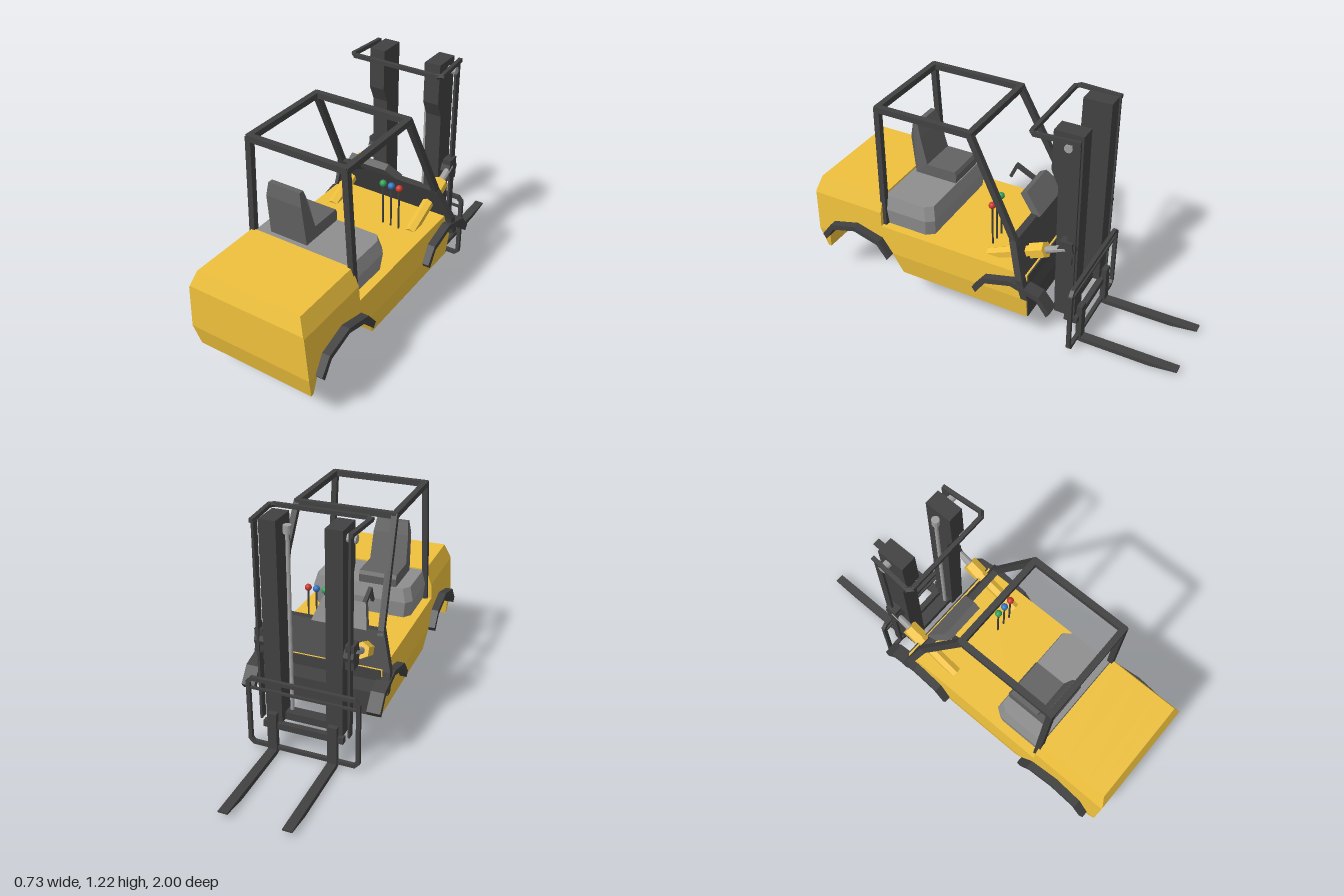
import * as THREE from 'three';

const mat = (color) => new THREE.MeshStandardMaterial({ color, flatShading: true });
const YELLOW = mat(0xeec03c), DARK = mat(0x414141), SEAT = mat(0x626262), GREY = mat(0x8e8e8e), STEEL = mat(0xa0a0a0);

// Skin through closed rings; each ring runs counter-clockwise seen from the end of the loft
function loft(rings) {
  const v = [], n = rings[0].length;
  const tri = (...p) => p.forEach((q) => v.push(...q));
  for (let r = 0; r < rings.length - 1; r++) {
    for (let i = 0; i < n; i++) {
      const a = rings[r], b = rings[r + 1], j = (i + 1) % n;
      tri(a[i], a[j], b[j]);
      tri(a[i], b[j], b[i]);
    }
  }
  const first = rings[0], last = rings[rings.length - 1];
  for (let i = 1; i < n - 1; i++) {
    tri(first[0], first[i + 1], first[i]);
    tri(last[0], last[i], last[i + 1]);
  }
  const g = new THREE.BufferGeometry();
  g.setAttribute('position', new THREE.Float32BufferAttribute(v, 3));
  g.computeVertexNormals();
  return g;
}

// Side profile of [z, y] points extruded from x0 to x1
function extrudeX(points, x0, x1) {
  const shape = new THREE.Shape(points.map(([z, y]) => new THREE.Vector2(-z, y)));
  return new THREE.ExtrudeGeometry(shape, { depth: x1 - x0, bevelEnabled: false })
    .rotateY(Math.PI / 2).translate(x0, 0, 0);
}

export function createModel() {
  const model = new THREE.Group();
  const add = (name, geometry, material) => {
    const mesh = new THREE.Mesh(geometry, material);
    mesh.name = name;
    model.add(mesh);
    return mesh;
  };
  const box = (name, x0, x1, y0, y1, z0, z1, m) => add(name,
    new THREE.BoxGeometry(x1 - x0, y1 - y0, z1 - z0).translate((x0 + x1) / 2, (y0 + y1) / 2, (z0 + z1) / 2), m);
  // Square bar or round rod between two points
  const between = (name, a, b, geometryOf, m) => {
    const p = new THREE.Vector3(...a), q = new THREE.Vector3(...b);
    const mesh = add(name, geometryOf(p.distanceTo(q)), m);
    mesh.position.copy(p).lerp(q, 0.5);
    mesh.quaternion.setFromUnitVectors(new THREE.Vector3(0, 1, 0), q.sub(p).normalize());
    return mesh;
  };
  const bar = (name, a, b, t, m = DARK) => between(name, a, b, (l) => new THREE.BoxGeometry(t, l + t * 0.6, t), m);
  const rod = (name, a, b, r, m, sides = 8) => between(name, a, b, (l) => new THREE.CylinderGeometry(r, r, l, sides), m);

  // Body and counterweight: [z, bottom, top] stations, with the rear wheel arch in the bottom line
  const halfWidth = (y) => {
    if (y < 0.3) return 0.315 + (y - 0.18) * 0.125;
    if (y < 0.53) return 0.33 - (y - 0.3) * 0.065;
    return 0.315 - (y - 0.53) * 0.39;
  };
  const stations = [[-0.25, 0.18, 0.45], [0.48, 0.18, 0.45], [0.53, 0.3, 0.45], [0.59, 0.36, 0.45], [0.59, 0.36, 0.62],
    [0.62, 0.38, 0.62], [0.74, 0.41, 0.62], [0.87, 0.38, 0.62], [0.935, 0.3, 0.62], [0.955, 0.18, 0.62],
    [0.972, 0.18, 0.62], [1, 0.3, 0.54]];
  add('body', loft(stations.map(([z, lo, hi]) => {
    const levels = [lo, Math.max(lo, 0.3), Math.min(hi, 0.53), hi];
    return [...levels.map((y) => [halfWidth(y), y, z]), ...levels.reverse().map((y) => [-halfWidth(y), y, z])];
  })), YELLOW);
  box('frontBulkhead', -0.315, 0.315, 0.185, 0.45, -0.256, -0.249, DARK);

  // Engine cover, with cut front corners
  add('engineCover', loft([[0.45, 0.275, 0.31], [0.54, 0.285, 0.3], [0.615, 0.265, 0.315]].map(([y, w, z]) => [
    [-w, y, 0.585], [w, y, 0.585], [w, y, z + 0.04], [w - 0.03, y, z], [-w + 0.03, y, z], [-w, y, z + 0.04]])), GREY);

  // Seat, narrowing at the top of the backrest
  const seat = extrudeX([[0.56, 0.612], [0.32, 0.612], [0.315, 0.66], [0.325, 0.68], [0.49, 0.68],
    [0.525, 0.83], [0.545, 0.9], [0.572, 0.9], [0.58, 0.83]], -0.195, 0.012);
  const sp = seat.attributes.position;
  for (let i = 0; i < sp.count; i++) {
    const k = sp.getY(i) > 0.88 ? 0.84 : sp.getY(i) > 0.8 ? 0.95 : 1;
    sp.setX(i, -0.0915 + (sp.getX(i) + 0.0915) * k);
  }
  seat.computeVertexNormals();
  add('seat', seat, SEAT);

  // Fenders
  const arch = [[-0.21, 0.285], [-0.15, 0.365], [0, 0.405], [0.15, 0.365], [0.21, 0.285]];
  const band = [...arch.map(([z, y]) => [z * 1.02, y + 0.015]), ...arch.map(([z, y]) => [z * 0.93, y - 0.012]).reverse()];
  for (const s of [-1, 1]) {
    for (const [name, zc, inner] of [['rearFender', 0.74, 0.24], ['frontFender', -0.18, 0.295]]) {
      const pts = band.map(([z, y]) => [z + zc, y]);
      add(name, extrudeX(pts, s > 0 ? inner : -0.365, s > 0 ? 0.365 : -inner), DARK);
    }
  }

  // Sloping front cowl and instrument panel
  const cowl = [[0.36, 0.33, -0.255], [0.36, 0.44, -0.225], [0.3, 0.62, -0.16]];
  add('cowl', loft(cowl.map(([w, y, z]) => [
    [-w, y, z + 0.018], [w, y, z + 0.018], [w, y, z - 0.018], [-w, y, z - 0.018]])), DARK);
  add('instrumentPanel', loft([[0.6, -0.22, 0.07, -0.18], [0.7, -0.18, 0.04, -0.09]].map(([y, x0, x1, z]) => [
    [x0, y, z + 0.02], [x1, y, z + 0.02], [x1, y + 0.02, z - 0.015], [x0, y + 0.02, z - 0.015]])), SEAT);

  // Steering column
  bar('steeringColumn', [-0.15, 0.61, -0.17], [-0.15, 0.72, 0.045], 0.02);
  bar('steeringArm', [-0.15, 0.72, 0.045], [-0.15, 0.645, 0.08], 0.016);

  // Control levers
  [[0.083, 0x2f9e57], [0.13, 0x2f74c4], [0.175, 0xc8372d]].forEach(([x, color]) => {
    rod('lever', [x, 0.45, 0.015], [x, 0.68, 0.015], 0.005, DARK);
    const knob = new THREE.MeshStandardMaterial({ color });
    add('leverKnob', new THREE.SphereGeometry(0.018, 16, 12).translate(x, 0.685, 0.015), knob);
  });

  // Overhead guard
  for (const s of [-1, 1]) {
    bar('rearPillar', [s * 0.285, 0.46, 0.585], [s * 0.255, 1.11, 0.585], 0.03);
    bar('frontPillar', [s * 0.285, 0.6, -0.17], [s * 0.255, 1.11, 0.08], 0.03);
    bar('roofSideRail', [s * 0.255, 1.112, 0.08], [s * 0.255, 1.112, 0.585], 0.03);
  }
  for (const z of [0.08, 0.585]) bar('roofCrossRail', [-0.255, 1.112, z], [0.255, 1.112, z], 0.03);

  // Mast columns, guide rails, tilt cylinders and forks on both sides
  const mastProfile = [[-0.345, 0.17], [-0.455, 0.17], [-0.455, 1.22], [-0.31, 1.22], [-0.305, 1.01], [-0.34, 0.93]];
  const forkProfile = [[-0.46, 0.23], [-0.46, 0.005], [-0.49, 0], [-0.86, 0.004], [-1, 0.024], [-1, 0.032],
    [-0.49, 0.025], [-0.488, 0.23]];
  for (const s of [-1, 1]) {
    const x = s * 0.158;
    add('mastColumn', extrudeX(mastProfile, x - 0.042, x + 0.042), DARK);
    box('guideRail', s * 0.23 - 0.006, s * 0.23 + 0.006, 0.17, 1.2, -0.455, -0.415, DARK);
    rod('mastRoller', [s * 0.2, 1.17, -0.4], [s * 0.245, 1.17, -0.4], 0.02, STEEL, 10);
    add('fork', extrudeX(forkProfile, x - 0.024, x + 0.024), DARK);
    const at = (t) => [s * 0.235, 0.445 + 0.175 * t, -0.02 - 0.39 * t];
    rod('tiltCylinder', at(-0.05), at(0.6), 0.03, YELLOW, 6);
    rod('tiltCylinderHead', at(0.55), at(0.74), 0.042, YELLOW, 6);
    rod('tiltRod', at(0.7), at(1), 0.018, STEEL, 10);
    rod('tiltBracket', [s * 0.19, 0.605, -0.41], [s * 0.25, 0.605, -0.41], 0.045, DARK, 8);
    box('bracketPlate', s * 0.228 - 0.022, s * 0.228 + 0.022, 0.54, 0.665, -0.445, -0.38, DARK);
  }

  // Lift cylinder
  rod('liftCylinder', [0.095, 0.19, -0.38], [0.095, 1.15, -0.38], 0.01, STEEL, 12);
  rod('liftCylinderHead', [0.095, 1.14, -0.38], [0.095, 1.18, -0.38], 0.02, STEEL, 12);

  // Bent top guard of the mast
  const path = [[-0.235, -0.45], [-0.25, -0.24], [-0.23, -0.222], [0.23, -0.222], [0.25, -0.24], [0.235, -0.45]];
  for (let i = 0; i < path.length - 1; i++) {
    bar('topGuard', [path[i][0], 1.205, path[i][1]], [path[i + 1][0], 1.205, path[i + 1][1]], 0.02);
  }

  // Carriage: frame with cut corners and cross bars
  const corner = [[0.265, 0.4], [0.285, 0.38], [0.285, 0.05], [0.265, 0.03]];
  const loop = [...corner, ...corner.map(([x, y]) => [-x, y]).reverse()];
  loop.forEach(([x, y], i) => {
    const [x2, y2] = loop[(i + 1) % loop.length];
    bar('carriageFrame', [x, y, -0.468], [x2, y2, -0.468], 0.02);
  });
  bar('carriageRail', [-0.285, 0.345, -0.465], [0.285, 0.345, -0.465], 0.012);
  box('forkBar', -0.21, 0.21, 0.14, 0.175, -0.475, -0.445, DARK);
  box('mastCrossMember', -0.2, 0.2, 0.17, 0.21, -0.42, -0.36, DARK);
  return model;
}
